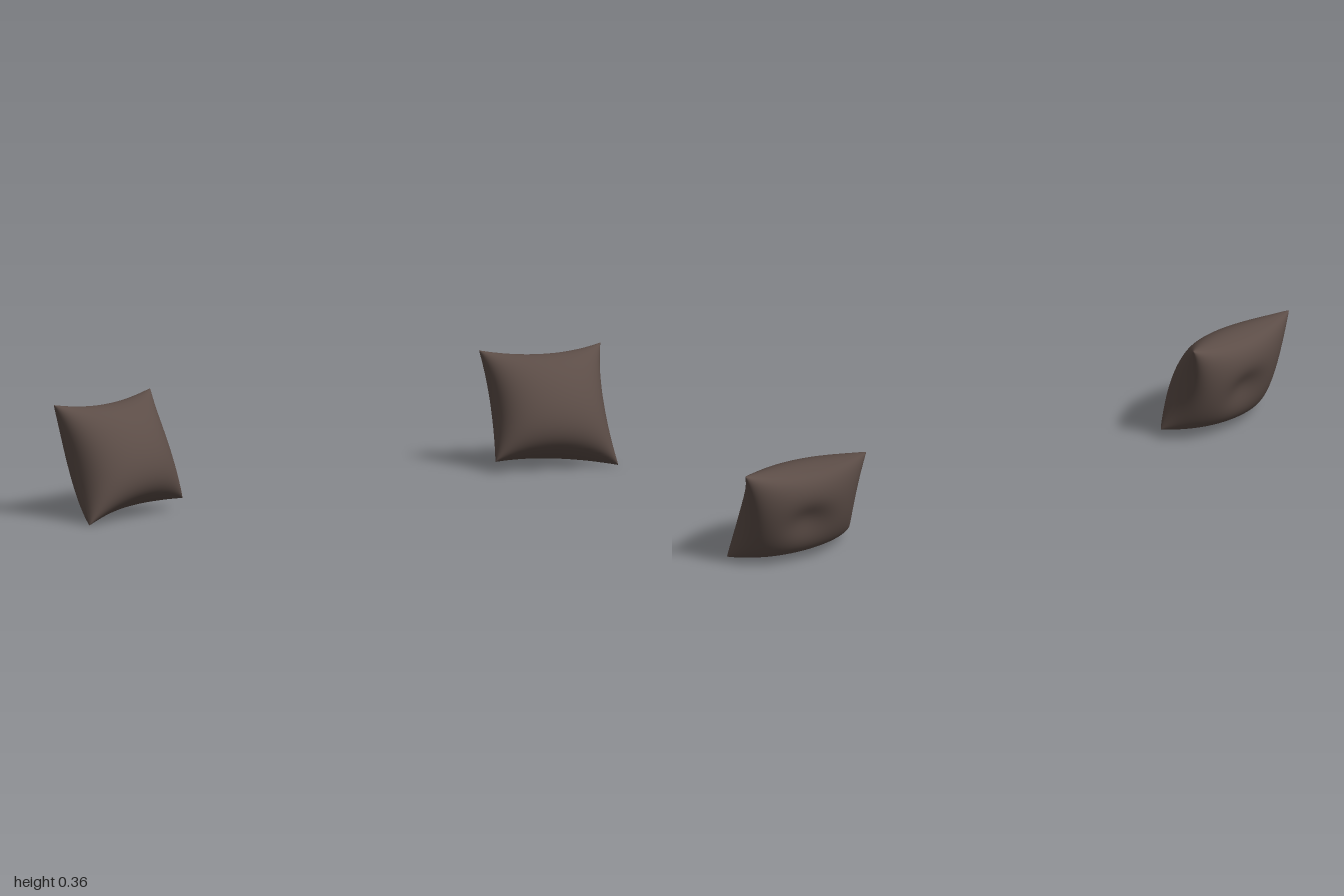
import * as THREE from 'three';

// Seam corners of the left cushion
const innerBottom = new THREE.Vector3(0.573, 0.035, 0.022);
const outerBottom = new THREE.Vector3(0.967, 0.0, 0.108);
const innerTop = new THREE.Vector3(0.602, 0.36, -0.118);
const outerTop = new THREE.Vector3(1.0, 0.357, -0.046);
const normal = new THREE.Vector3(-0.158, 0.4, 0.9).normalize();

// Point on the cushion at (u, v) in -1..1; face is 1 for front, -1 for back
function cushionPoint(u, v, face) {
  const eu = 1 - u * u, ev = 1 - v * v;
  // Pull the seam inward between the corners
  const pu = u * (1 - 0.12 * ev * u * u);
  const pv = v * (1 - 0.13 * eu * v * v);
  const low = innerBottom.clone().lerp(outerBottom, (pu + 1) / 2);
  const high = innerTop.clone().lerp(outerTop, (pu + 1) / 2);
  const p = low.lerp(high, (pv + 1) / 2);
  // Padding, fuller toward the bottom
  const puff = Math.pow(Math.max(eu * ev, 0), 0.45);
  let depth = -0.015 * (eu + ev - eu * ev);
  if (face > 0) {
    depth += 0.13 * puff * (1 - 0.12 * v);
  } else {
    const dimple = 0.025 * Math.exp(-(u * u + (v - 0.1) ** 2) / 0.12);
    depth -= 0.095 * puff * (1 - 0.2 * v) - dimple;
  }
  return p.addScaledVector(normal, depth);
}

// One padded half, with its own normals so the seam stays sharp
function cushionHalf(side, face) {
  const geo = new THREE.PlaneGeometry(2, 2, 40, 40);
  const pos = geo.attributes.position;
  for (let i = 0; i < pos.count; i++) {
    const u = Math.sin(pos.getX(i) * Math.PI / 2);
    const v = Math.sin(pos.getY(i) * Math.PI / 2);
    const p = cushionPoint(u, v, face);
    pos.setXYZ(i, p.x * side, p.y, p.z);
  }
  // Turn the faces outward
  if (side * face < 0) {
    const index = geo.index;
    for (let i = 0; i < index.count; i += 3) {
      const a = index.getX(i);
      index.setX(i, index.getX(i + 1));
      index.setX(i + 1, a);
    }
  }
  geo.computeVertexNormals();
  return geo;
}

export function createModel() {
  const model = new THREE.Group();
  model.name = 'cushionPair';
  const fabric = new THREE.MeshStandardMaterial({ color: 0x5c4d47 });
  fabric.name = 'brown fabric';

  for (const [side, name] of [[1, 'leftCushion'], [-1, 'rightCushion']]) {
    const cushion = new THREE.Group();
    cushion.name = name;
    for (const [face, part] of [[1, 'frontPadding'], [-1, 'backPadding']]) {
      const mesh = new THREE.Mesh(cushionHalf(side, face), fabric);
      mesh.name = part;
      cushion.add(mesh);
    }
    model.add(cushion);
  }
  return model;
}
